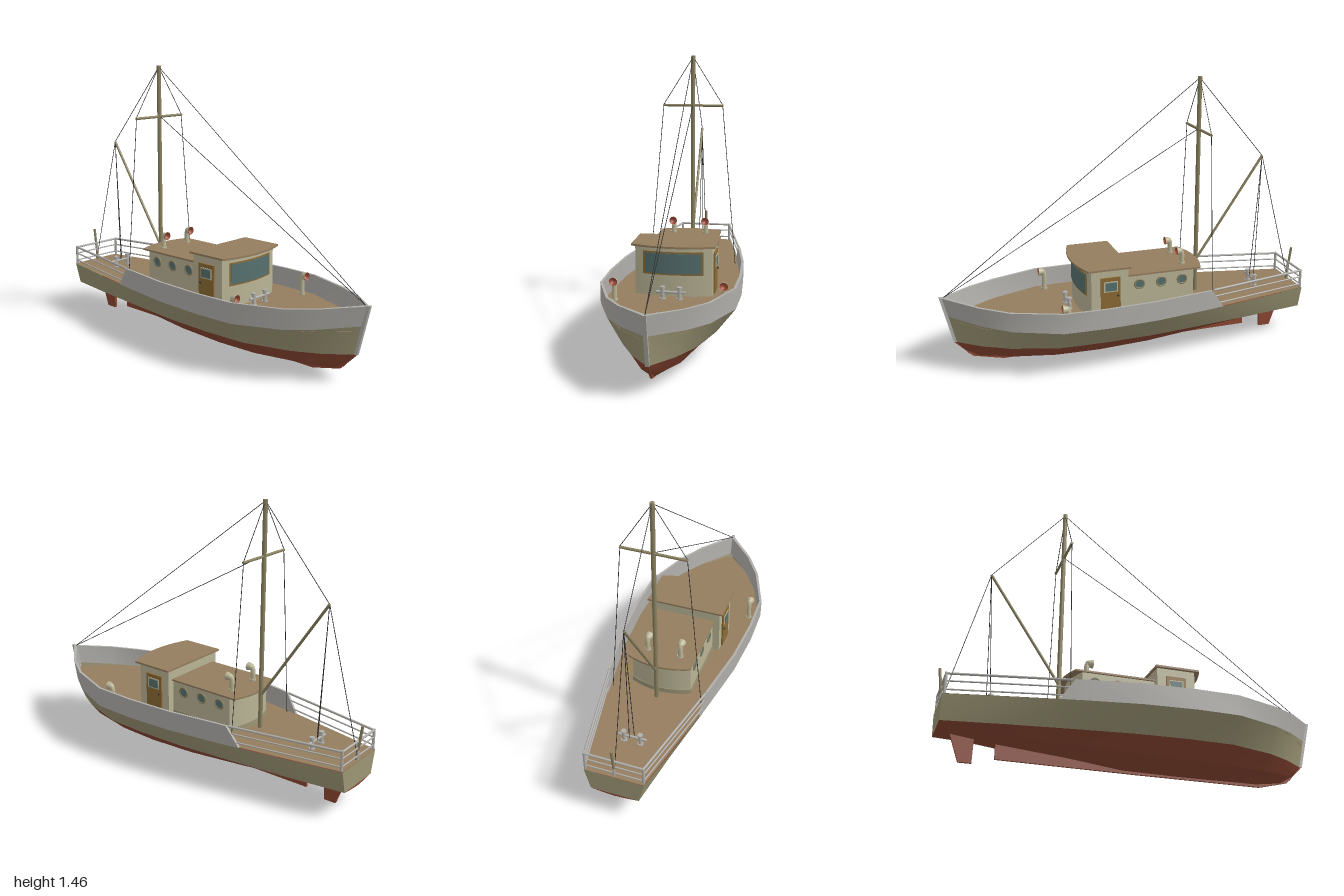
import * as THREE from 'three';
import { toCreasedNormals } from 'three/addons/utils/BufferGeometryUtils.js';

const mat = (color) => new THREE.MeshStandardMaterial({ color, side: THREE.DoubleSide });
const RED = mat(0x8a4632), KHAKI = mat(0x9c9675), GREY = mat(0xb0aeaa), WOOD = mat(0x957d5e), CREAM = mat(0xb9b495),
  SPAR = mat(0x8a8260), GLASS = mat(0x55706e), DOOR = mat(0x8c6a35), ROPE = mat(0x2c2c2c), MOUTH = mat(0xa04a35);
const DECK = 0.272;
const V = (x, y, z) => new THREE.Vector3(x, y, z);

export function createModel() {
  const boat = new THREE.Group();
  const add = (name, geo, material, parent = boat) => {
    const m = new THREE.Mesh(geo, material);
    m.name = name;
    parent.add(m);
    return m;
  };

  // Skin between rows of [x, y, z] stations, optionally repeated on the other side
  const loft = (name, rows, material, mirror = true) => {
    const pos = [];
    for (const s of mirror ? [1, -1] : [1]) {
      const p = ([x, y, z]) => [x, y, z * s];
      for (let r = 0; r + 1 < rows.length; r++) for (let i = 0; i + 1 < rows[r].length; i++) {
        const a = p(rows[r][i]), b = p(rows[r][i + 1]), c = p(rows[r + 1][i + 1]), d = p(rows[r + 1][i]);
        pos.push(...(s > 0 ? [a, d, b, b, d, c] : [a, b, d, b, c, d]).flat());
      }
    }
    const g = new THREE.BufferGeometry();
    g.setAttribute('position', new THREE.Float32BufferAttribute(pos, 3));
    add(name, toCreasedNormals(g, 0.4), material);
  };

  // Round bar between two points
  const bar = (name, a, b, r, material, sides = 10, parent = boat) => {
    const m = add(name, new THREE.CylinderGeometry(r, r, a.distanceTo(b), sides), material, parent);
    m.position.copy(a).lerp(b, 0.5);
    m.quaternion.setFromUnitVectors(V(0, 1, 0), b.clone().sub(a).normalize());
  };

  // Plan outline raised from y0 to y1
  const slab = (name, shape, y0, y1, material) => {
    const g = new THREE.ExtrudeGeometry(shape, { depth: y1 - y0, bevelEnabled: false, curveSegments: 16 });
    g.rotateX(-Math.PI / 2).translate(0, y0, 0);
    add(name, toCreasedNormals(g, 0.5), material);
  };
  // Side profile of thickness t on the centreline
  const fin = (name, pts, t, material) => {
    const shape = new THREE.Shape(pts.map(([x, y]) => new THREE.Vector2(x, y)));
    const g = new THREE.ExtrudeGeometry(shape, { depth: t, bevelEnabled: false });
    add(name, g.translate(0, 0, -t / 2), material);
  };
  // Rectangle with one bowed end: flat end xFlat, bowed end from xSide to xMid
  const bowed = (xFlat, xSide, xMid, w) => {
    const s = new THREE.Shape();
    s.moveTo(xFlat, -w);
    s.lineTo(xSide, -w);
    s.quadraticCurveTo(2 * xMid - xSide, 0, xSide, w);
    s.lineTo(xFlat, w);
    s.closePath();
    return s;
  };

  // Hull rows from deck edge down to keel
  const xs = [-0.985, -0.68, -0.37, -0.07, 0.2, 0.43, 0.67, 0.8];
  const row = (ys, zs, tip) => [...xs.map((x, i) => [x, ys[i] ?? ys[0], zs[i]]), tip];
  const edge = row([0.27, 0.27, 0.27, 0.27, 0.27, 0.27, 0.274, 0.283],
    [0.155, 0.217, 0.278, 0.325, 0.342, 0.336, 0.243, 0.155], [0.96, 0.3, 0.005]);
  const water = row([0.15], [0.125, 0.17, 0.208, 0.24, 0.25, 0.242, 0.17, 0.1], [0.925, 0.152, 0.005]);
  const bilge = row([0.143, 0.118, 0.1, 0.082, 0.074, 0.073, 0.075, 0.085],
    [0.07, 0.105, 0.135, 0.158, 0.165, 0.155, 0.105, 0.055], [0.88, 0.1, 0.004]);
  const keel = row([0.138, 0.1, 0.072, 0.036, 0.032, 0.032, 0.033, 0.05], Array(8).fill(0), [0.86, 0.075, 0]);
  loft('hullTopsides', [edge, water], KHAKI);
  loft('hullBottom', [water, bilge, keel], RED);
  const toCentre = ([x, y]) => [x, y, 0];
  loft('transom', [edge, water].map((r) => [toCentre(r[0]), r[0]]), KHAKI);
  loft('transomBottom', [water, bilge, keel].map((r) => [toCentre(r[0]), r[0]]), RED);
  const deckEdge = edge.map(([x, , z], i) => [i === 8 ? 0.95 : x, DECK, z * 0.985]);
  loft('deck', [deckEdge.map(toCentre), deckEdge], WOOD);

  // Bulwark with thickness and sloping after end
  const low = [[-0.46, 0.27, 0.261], ...edge.slice(2)];
  const top = [[-0.39, 0.373, 0.276], [-0.33, 0.375, 0.286], [-0.07, 0.375, 0.327], [0.2, 0.375, 0.343],
    [0.43, 0.375, 0.337], [0.68, 0.377, 0.247], [0.82, 0.387, 0.158], [0.985, 0.402, 0.006]];
  const inset = ([x, y, z], i) => [i === 7 ? x - 0.02 : x - (i > 4 ? 0.006 : 0), y, Math.max(z - 0.013, 0.001)];
  loft('bulwark', [low, top, top.map(inset), low.map(inset)], GREY);
  loft('bulwarkEnd', [[low[0], top[0]], [inset(low[0], 0), inset(top[0], 0)]], GREY);

  // Stem, keel and rudder
  fin('stem', [[0.915, 0.152], [0.935, 0.152], [0.997, 0.405], [0.972, 0.402]], 0.018, GREY);
  fin('keel', [[-0.7, 0.11], [-0.7, 0.03], [0, 0.024], [0.68, 0.022], [0.84, 0.06], [0.935, 0.154],
    [0.915, 0.154], [0.82, 0.07], [0.67, 0.04], [-0.07, 0.045], [-0.37, 0.085]], 0.012, RED);
  fin('rudder', [[-0.92, 0.14], [-0.87, 0], [-0.806, 0], [-0.803, 0.13]], 0.014, RED);

  // Deckhouse and wheelhouse
  slab('deckhouse', bowed(0.06, -0.325, -0.362, 0.16), DECK, 0.465, CREAM);
  slab('deckhouseSkirting', bowed(0.06, -0.328, -0.365, 0.163), DECK, 0.3, KHAKI);
  slab('deckhouseRoof', bowed(0.06, -0.36, -0.397, 0.17), 0.465, 0.474, WOOD);
  slab('wheelhouse', bowed(0.05, 0.25, 0.28, 0.198), DECK, 0.526, CREAM);
  slab('wheelhouseRoof', bowed(0.04, 0.27, 0.312, 0.215), 0.526, 0.536, WOOD);
  slab('windscreenFrame', bowed(0.2, 0.264, 0.283, 0.155), 0.382, 0.502, DOOR);
  slab('windscreen', bowed(0.2, 0.268, 0.287, 0.145), 0.39, 0.494, GLASS);

  // Doors and portholes on both sides
  for (const s of [1, -1]) {
    const box = (name, w, h, d, x, y, z, m) =>
      add(name, new THREE.BoxGeometry(w, h, d), m).position.set(x, y, z * s);
    box('door', 0.105, 0.213, 0.012, 0.148, 0.379, 0.2, DOOR);
    box('doorWindowFrame', 0.076, 0.056, 0.004, 0.148, 0.437, 0.207, CREAM);
    box('doorWindow', 0.062, 0.044, 0.004, 0.148, 0.437, 0.209, GLASS);
    add('doorKnob', new THREE.SphereGeometry(0.006, 10, 8), ROPE).position.set(0.11, 0.385, 0.209 * s);
    for (const x of [-0.26, -0.143, -0.022]) {
      add('portholeRim', new THREE.TorusGeometry(0.025, 0.005, 8, 24), SPAR).position.set(x, 0.415, 0.161 * s);
      const pane = add('portholeGlass', new THREE.CylinderGeometry(0.024, 0.024, 0.004, 24), GLASS);
      pane.rotation.x = Math.PI / 2;
      pane.position.set(x, 0.415, 0.161 * s);
    }
  }

  // Cowl ventilators facing forward
  const cowl = (x, y, z, h) => {
    const g = new THREE.Group();
    g.name = 'cowlVent';
    g.position.set(x, y, z);
    const path = new THREE.CatmullRomCurve3([V(0, 0, 0), V(0, h - 0.04, 0), V(0.004, h - 0.026, 0), V(0.014, h - 0.021, 0)]);
    add('ventPipe', new THREE.TubeGeometry(path, 16, 0.013, 14), CREAM, g);
    const bell = [[0, -0.016], [0.009, -0.013], [0.016, -0.004], [0.019, 0.008], [0.022, 0.023]];
    const turn = (m) => { m.rotation.z = -Math.PI / 2; m.position.set(0.008, h - 0.022, 0); };
    turn(add('ventBell', new THREE.LatheGeometry(bell.map((p) => new THREE.Vector2(...p)), 18), CREAM, g));
    const lining = [[0, 0.004], [0.013, 0.006], [0.021, 0.023]];
    turn(add('ventLining', new THREE.LatheGeometry(lining.map((p) => new THREE.Vector2(...p)), 18), MOUTH, g));
    add('ventCollar', new THREE.CylinderGeometry(0.017, 0.017, 0.008, 14), CREAM, g).position.y = 0.004;
    boat.add(g);
  };
  for (const s of [1, -1]) {
    cowl(-0.285, 0.474, 0.09 * s, 0.094);
    cowl(0.39, DECK, 0.275 * s, 0.125);
  }

  // Mooring bollards fore and aft
  for (const x of [-0.745, 0.328]) {
    for (const z of [-0.043, 0.043]) {
      bar('bollardPost', V(x, DECK, z), V(x, 0.33, z), 0.01, GREY, 12);
      bar('bollardCap', V(x, 0.328, z), V(x, 0.336, z), 0.014, GREY, 12);
      bar('bollardFoot', V(x, DECK, z), V(x, 0.278, z), 0.016, GREY, 12);
    }
    bar('bollardCrossbar', V(x, 0.308, -0.075), V(x, 0.308, 0.075), 0.007, GREY);
  }

  // Stern railing
  for (const [y, r] of [[0.372, 0.006], [0.335, 0.004], [0.293, 0.004]]) {
    for (const s of [1, -1]) bar('sideRail', V(-0.4, y, 0.266 * s), V(-0.975, y, 0.15 * s), r, GREY);
    bar('sternRail', V(-0.975, y, -0.15), V(-0.975, y, 0.15), r, GREY);
  }
  for (const z of [-0.15, 0, 0.15]) bar('railPost', V(-0.975, DECK, z), V(-0.975, 0.378, z), 0.007, GREY);
  bar('sternStaff', V(-0.968, DECK, 0), V(-0.992, 0.455, 0), 0.007, SPAR);

  // Mast, crosstree and boom
  const head = V(-0.403, 1.45, 0), boomTip = V(-0.78, 1.01, 0), bow = V(0.972, 0.402, 0);
  bar('mast', V(-0.403, DECK, 0), V(-0.403, 1.457, 0), 0.0115, SPAR, 14);
  bar('crosstree', V(-0.403, 1.18, -0.17), V(-0.403, 1.18, 0.17), 0.007, SPAR);
  bar('boom', V(-0.403, 0.45, 0), boomTip, 0.007, SPAR);

  // Rigging
  const rope = (name, a, b) => bar(name, a, b, 0.0018, ROPE, 5);
  rope('forestay', head, bow);
  rope('lowerForestay', V(-0.403, 1.185, 0), bow);
  rope('toppingLift', head, boomTip);
  rope('backstay', boomTip, V(-0.972, 0.29, 0));
  for (const s of [1, -1]) {
    rope('upperShroud', head, V(-0.403, 1.185, 0.167 * s));
    rope('shroud', V(-0.403, 1.185, 0.167 * s), V(-0.403, DECK, 0.247 * s));
    rope('boomTackle', boomTip, V(-0.748 + 0.008 * s, 0.308, 0.01 * s));
  }
  return boat;
}
